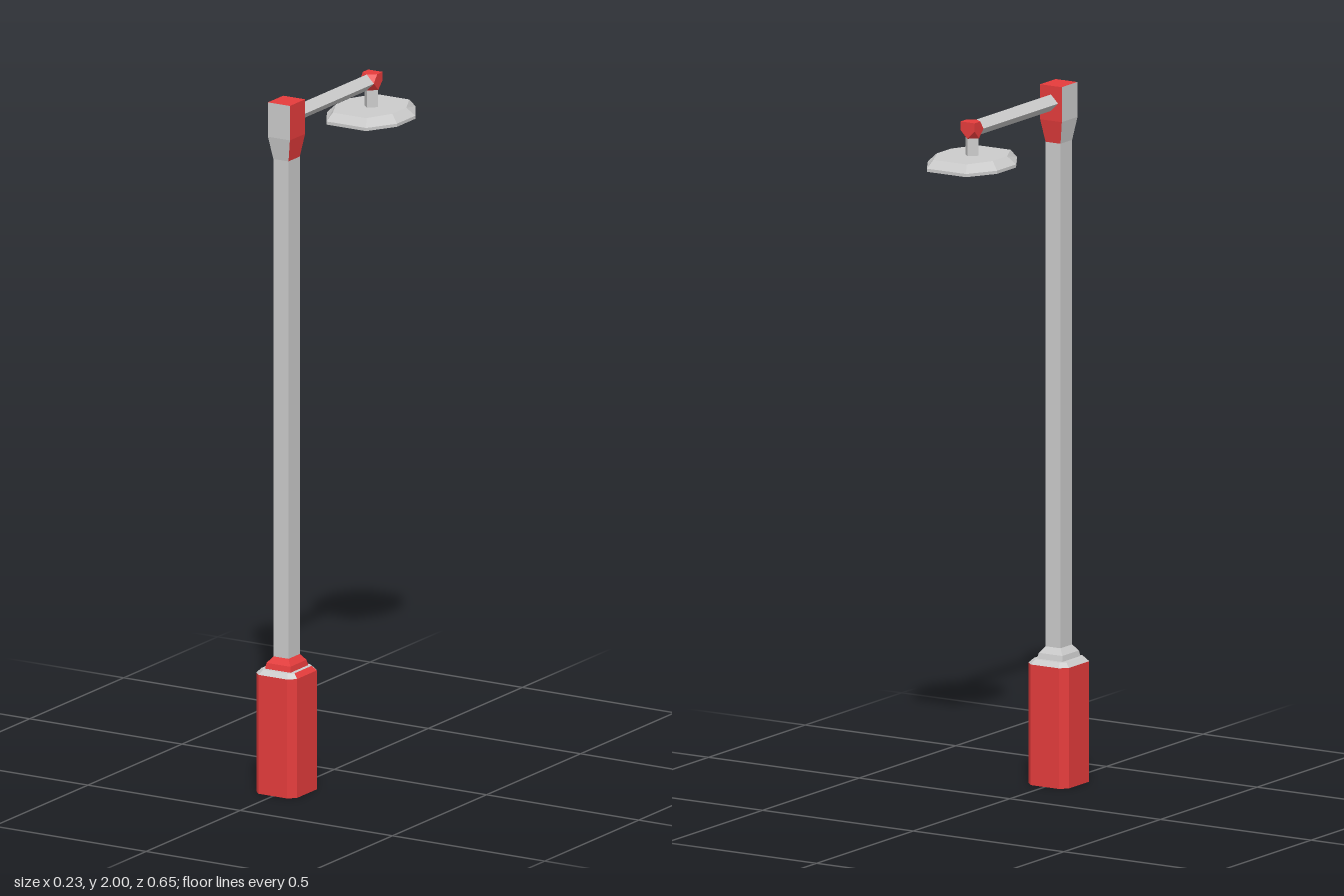
import * as THREE from 'three';
import { ConvexGeometry } from 'three/addons/geometries/ConvexGeometry.js';

const material = (color) => new THREE.MeshStandardMaterial({ color, flatShading: true });
const grey = material(0xcccccc);
const red = material(0xe63c3c);
const teal = material(0x128080);

const POST_Z = 0.2535;
const LAMP_Z = -0.196;

// Rectangle with cut corners (cx, cz); zero cuts give a plain rectangle
function ring(y, z0, hx, hz, cx = 0, cz = 0) {
  const points = cx
    ? [[hx, -hz + cz], [hx, hz - cz], [hx - cx, hz], [-hx + cx, hz],
      [-hx, hz - cz], [-hx, -hz + cz], [-hx + cx, -hz], [hx - cx, -hz]]
    : [[hx, -hz], [hx, hz], [-hx, hz], [-hx, -hz]];
  return points.map(([x, z]) => new THREE.Vector3(x, y, z + z0));
}

// Diamond with its corners on the axes
function diamond(y, z0, r) {
  return [[r, 0], [0, r], [-r, 0], [0, -r]].map(([x, z]) => new THREE.Vector3(x, y, z + z0));
}

// Skin between stacked rings; pick(normal) chooses the paint of each face
function loft(name, rings, pick, capBottom = true, capTop = true) {
  const buckets = new Map();
  const normal = new THREE.Vector3();
  const tri = (a, b, c) => {
    new THREE.Triangle(a, b, c).getNormal(normal);
    const paint = pick(normal);
    if (!buckets.has(paint)) buckets.set(paint, []);
    buckets.get(paint).push(a, b, c);
  };
  const n = rings[0].length;
  for (let k = 0; k < rings.length - 1; k++) {
    for (let i = 0; i < n; i++) {
      const j = (i + 1) % n;
      tri(rings[k][i], rings[k + 1][i], rings[k + 1][j]);
      tri(rings[k][i], rings[k + 1][j], rings[k][j]);
    }
  }
  const bottom = rings[0];
  const top = rings[rings.length - 1];
  for (let i = 1; i < n - 1; i++) {
    if (capBottom) tri(bottom[0], bottom[i], bottom[i + 1]);
    if (capTop) tri(top[0], top[i + 1], top[i]);
  }
  const group = new THREE.Group();
  group.name = name;
  for (const [paint, points] of buckets) {
    const geometry = new THREE.BufferGeometry().setFromPoints(points);
    geometry.computeVertexNormals();
    const mesh = new THREE.Mesh(geometry, paint);
    mesh.name = name + (paint === red ? 'Red' : paint === teal ? 'Teal' : 'Grey');
    group.add(mesh);
  }
  return group;
}

export function createModel() {
  const model = new THREE.Group();
  model.name = 'streetLamp';

  // Pedestal with cut corners and a bevelled top
  model.add(loft('base', [
    ring(0, POST_Z, 0.067, 0.0725, 0.02, 0.02),
    ring(0.345, POST_Z, 0.067, 0.0725, 0.02, 0.02),
  ], () => red, true, false));
  model.add(loft('baseBevel', [
    ring(0.345, POST_Z, 0.067, 0.0725, 0.02, 0.02),
    ring(0.358, POST_Z, 0.054, 0.059, 0.014, 0.014),
  ], (n) => (n.x > 0.5 && Math.abs(n.z) < 0.1 ? red : grey), false));

  // Stepped collar at the foot of the post
  model.add(loft('collar', [
    ring(0.358, POST_Z, 0.042, 0.047),
    ring(0.374, POST_Z, 0.039, 0.043),
    ring(0.392, POST_Z, 0.025, 0.03),
  ], (n) => (n.x > 0.2 || n.z > 0.2 ? red : grey), false, false));

  // Post and the flared head on it
  model.add(loft('post', [
    ring(0.38, POST_Z, 0.025, 0.03),
    ring(1.84, POST_Z, 0.025, 0.03),
  ], () => grey, false, false));
  model.add(loft('postHead', [
    ring(1.835, POST_Z, 0.025, 0.03),
    ring(1.9, POST_Z, 0.036, 0.0405),
    ring(2, POST_Z, 0.036, 0.0405),
  ], (n) => (n.y > 0.9 || n.x > 0.5 || n.z < -0.5 ? red : grey), false));

  // Arm with a diamond section, laid back along z
  const R = 0.0235;
  const ARM_Y = 1.9515;
  const arm = loft('arm', [diamond(0, 0, R), diamond(0.395, 0, R)], () => grey, false, false);
  arm.rotation.x = -Math.PI / 2;
  arm.position.set(0, ARM_Y, 0.222);
  model.add(arm);

  // Elbow blending the arm into the drop stem
  const half = [
    [R, R, -R], [R, R, 0.006], [0, R, R], [R, 0, R], [0, -R, R],
    [R, -R, 0], [0, -R, -R], [R, 0, -R],
  ];
  const elbow = new THREE.Mesh(new ConvexGeometry(
    half.flatMap(([x, y, z]) => [x, -x].slice(0, x ? 2 : 1)
      .map((s) => new THREE.Vector3(s, y, z))),
  ), red);
  elbow.name = 'elbow';
  elbow.position.set(0, ARM_Y, LAMP_Z);
  model.add(elbow);
  model.add(loft('stem', [
    diamond(1.87, LAMP_Z, 0.022),
    diamond(1.93, LAMP_Z, 0.022),
  ], () => grey, false, false));

  // Lamp shade: underside lip, rim and sloping top
  model.add(loft('lampShade', [
    ring(1.854, LAMP_Z, 0.088, 0.104, 0.037, 0.064),
    ring(1.846, LAMP_Z, 0.094, 0.112, 0.04, 0.069),
    ring(1.846, LAMP_Z, 0.115, 0.132, 0.05, 0.083),
    ring(1.855, LAMP_Z, 0.115, 0.132, 0.05, 0.083),
    ring(1.878, LAMP_Z, 0.093, 0.114, 0.038, 0.077),
  ], () => grey, false));

  // Lens set inside the lip
  model.add(loft('lens', [
    ring(1.849, LAMP_Z, 0.06, 0.072, 0.025, 0.044),
    ring(1.854, LAMP_Z, 0.088, 0.104, 0.037, 0.064),
  ], () => teal, true, false));

  return model;
}
